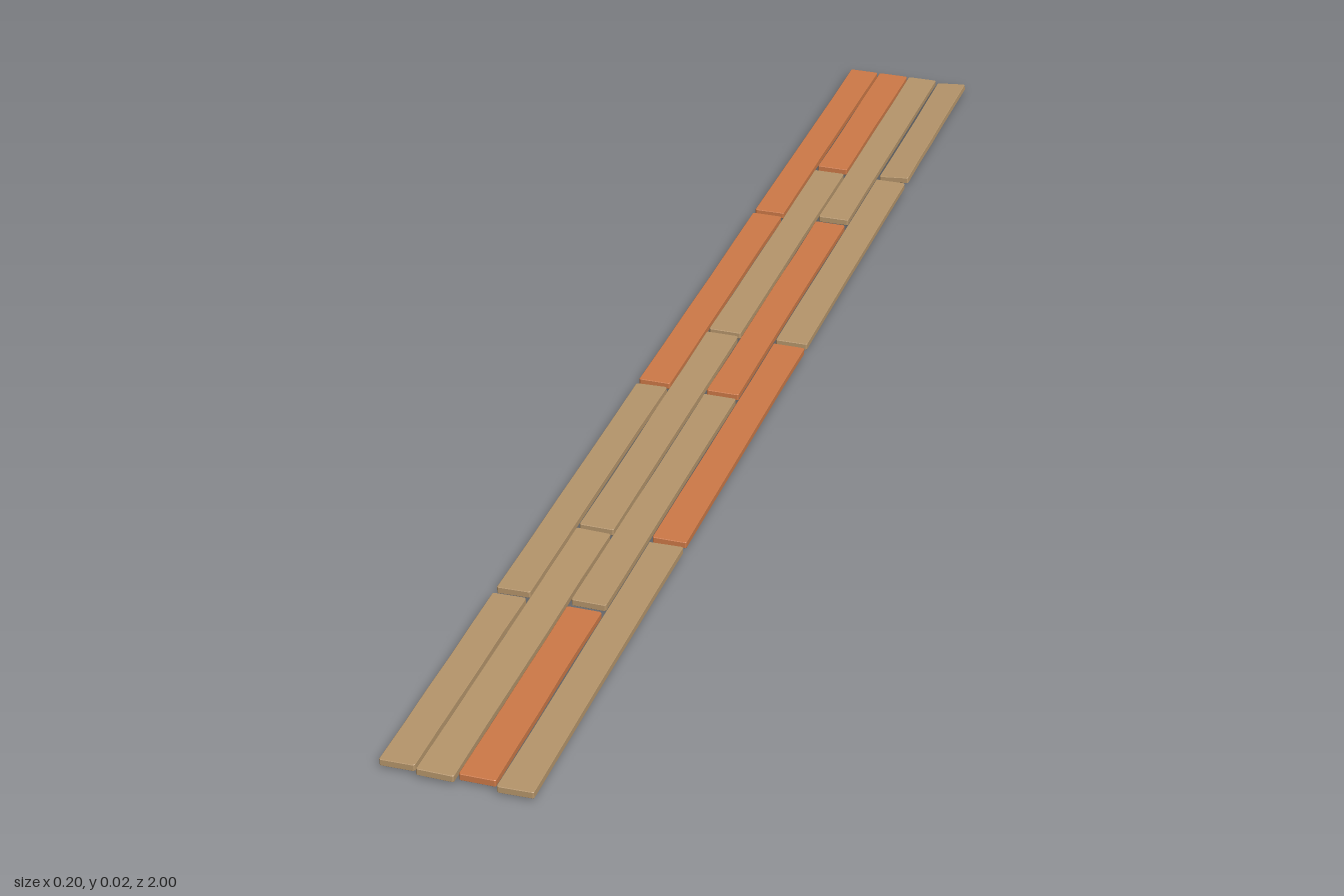
import * as THREE from 'three';

const THICK = 0.0092, BASE = 0.0042, BEVEL = 0.0007;

// seeded generator for the slightly worn edges
function makeRandom(seed) {
  let s = seed;
  return () => (s = (s * 16807) % 2147483647) / 2147483647;
}

// worn plank outline: straight edges with tiny dents and clipped corners
function plankGeometry(width, length, rand) {
  const w = width / 2, l = length / 2, c = 0.003, n = 5;
  const dent = () => rand() * 0.0009;
  const pts = [];
  const side = (s) => {
    for (let i = 0; i <= n; i++) {
      const t = -1 + (2 * i) / n;
      const end = i === 0 || i === n;
      pts.push(new THREE.Vector2(s * (w - (end ? 0 : dent())), s * t * (l - c * (0.5 + rand() * 0.5))));
    }
    pts.push(new THREE.Vector2(s * (w - c * 0.6), s * l));
    pts.push(new THREE.Vector2(-s * (w - c * 0.6), s * (l - dent())));
  };
  side(1);
  side(-1);
  const geo = new THREE.ExtrudeGeometry(new THREE.Shape(pts), {
    depth: THICK - 2 * BEVEL, bevelEnabled: true, bevelSegments: 1,
    bevelThickness: BEVEL, bevelSize: BEVEL, bevelOffset: -BEVEL,
  });
  geo.rotateX(-Math.PI / 2);
  geo.translate(0, BEVEL - THICK / 2, 0);
  return geo;
}

export function createModel() {
  const tan = new THREE.MeshStandardMaterial({ color: 0xb4946a });
  tan.name = 'tanWood';
  const orange = new THREE.MeshStandardMaterial({ color: 0xcb7846 });
  orange.name = 'orangeWood';

  // rows of planks: [zBack, zFront, material, lift, roll, pitch]
  const rows = [
    { x0: -0.098, x1: -0.053, planks: [
      [-1, -0.466, orange, 0, 0, 0], [-0.456, 0.074, orange, 0, 0, 0],
      [0.084, 0.618, tan, 0, 0.03, 0], [0.63, 0.994, tan, 0, 0.02, 0]] },
    { x0: -0.049, x1: -0.002, planks: [
      [-1, -0.638, orange, 0, 0, 0], [-0.622, -0.09, tan, 0.001, 0, 0],
      [-0.08, 0.45, tan, 0.0012, 0, 0.004], [0.46, 1, tan, 0.001, -0.02, 0]] },
    { x0: 0.001, x1: 0.047, planks: [
      [-1, -0.474, tan, 0, 0, 0], [-0.458, 0.074, orange, 0, 0, 0],
      [0.084, 0.616, tan, 0, 0, 0], [0.63, 0.992, orange, 0, 0, 0]] },
    { x0: 0.051, x1: 0.097, planks: [
      [-1, -0.64, tan, -0.002, 0.09, 0], [-0.622, -0.09, tan, 0, 0, 0],
      [-0.08, 0.45, orange, 0, 0, 0], [0.46, 1, tan, 0, 0.02, 0]] },
  ];

  const model = new THREE.Group();
  model.name = 'plankFloor';
  const rand = makeRandom(71);
  rows.forEach((row, r) => {
    const group = new THREE.Group();
    group.name = `plankRow${r + 1}`;
    row.planks.forEach(([z0, z1, material, lift, roll, pitch], i) => {
      const plank = new THREE.Mesh(plankGeometry(row.x1 - row.x0, z1 - z0, rand), material);
      plank.name = `plank${r + 1}_${i + 1}`;
      plank.position.set((row.x0 + row.x1) / 2, BASE + THICK / 2 + lift, (z0 + z1) / 2);
      plank.rotation.set(pitch, 0, roll);
      group.add(plank);
    });
    model.add(group);
  });
  return model;
}
